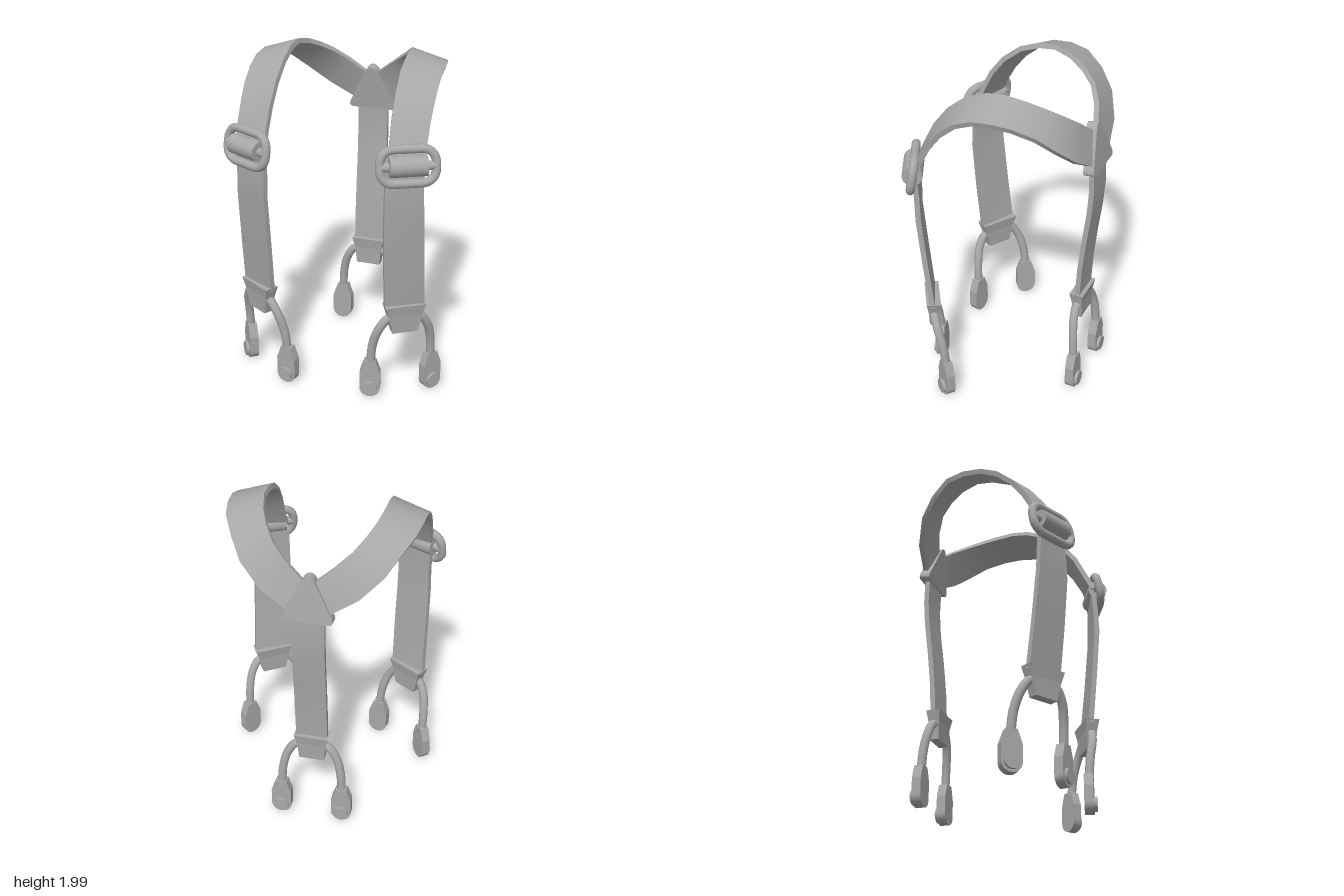
import * as THREE from 'three';

const gray = new THREE.MeshStandardMaterial({ color: 0xa8a8a8 });
gray.name = 'gray';
const V = (x, y, z) => new THREE.Vector3(x, y, z);

function add(parent, geometry, name) {
  const mesh = new THREE.Mesh(geometry, gray);
  mesh.name = name;
  parent.add(mesh);
  return mesh;
}

// Solid band between two edge lines; thick(i) gives the thickness of each row
function band(edgeA, edgeB, thick, flat = false) {
  const n = edgeA.length;
  const mid = edgeA.map((a, i) => a.clone().add(edgeB[i]).multiplyScalar(0.5));
  const rows = edgeA.map((a, i) => {
    const b = edgeB[i];
    const t = mid[Math.min(i + 1, n - 1)].clone().sub(mid[Math.max(i - 1, 0)]);
    const off = b.clone().sub(a).cross(t).setLength(thick(i) / 2);
    return [a.clone().add(off), b.clone().add(off), b.clone().sub(off), a.clone().sub(off)];
  });
  const pos = [], idx = [];
  for (let k = 0; k < 4; k++) {
    const base = pos.length / 3;
    rows.forEach((r, i) => {
      pos.push(...r[k].toArray(), ...r[(k + 1) % 4].toArray());
      if (i < n - 1) {
        const o = base + i * 2;
        idx.push(o, o + 1, o + 3, o, o + 3, o + 2);
      }
    });
  }
  // end faces
  [[rows[0], [0, 2, 1, 0, 3, 2]], [rows[n - 1], [0, 1, 2, 0, 2, 3]]].forEach(([r, order]) => {
    const base = pos.length / 3;
    r.forEach(p => pos.push(...p.toArray()));
    idx.push(...order.map(j => base + j));
  });
  let g = new THREE.BufferGeometry();
  g.setAttribute('position', new THREE.Float32BufferAttribute(pos, 3));
  g.setIndex(idx);
  if (flat) g = g.toNonIndexed();
  g.computeVertexNormals();
  return g;
}

// Strap from rows of [inner x,y,z, outer x,y,z], mirrored by s
function strap(rows, s) {
  const a = rows.map(r => V(s * r[0], r[1], r[2]));
  const b = rows.map(r => V(s * r[3], r[4], r[5]));
  return s > 0 ? band(a, b, () => 0.03) : band(b, a, () => 0.03);
}

const shoulderRows = [
  [0.345, 1.5, 0.45, 0.545, 1.5, 0.37],
  [0.35, 1.6, 0.4, 0.545, 1.59, 0.34],
  [0.345, 1.73, 0.335, 0.545, 1.7, 0.28],
  [0.34, 1.84, 0.25, 0.548, 1.79, 0.21],
  [0.335, 1.93, 0.14, 0.548, 1.865, 0.12],
  [0.335, 1.975, 0.02, 0.547, 1.905, 0.02],
  [0.333, 1.985, -0.08, 0.54, 1.915, -0.09],
  [0.31, 1.96, -0.19, 0.52, 1.9, -0.2],
  [0.27, 1.92, -0.28, 0.46, 1.84, -0.31],
  [0.215, 1.87, -0.36, 0.39, 1.75, -0.4],
  [0.13, 1.8, -0.42, 0.27, 1.64, -0.465],
  [0.02, 1.71, -0.46, 0.09, 1.53, -0.5],
];
const frontRows = [
  [0.34, 0.6, 0.41, 0.545, 0.6, 0.3],
  [0.34, 0.9, 0.44, 0.545, 0.9, 0.335],
  [0.345, 1.2, 0.465, 0.545, 1.2, 0.365],
  [0.345, 1.35, 0.46, 0.54, 1.35, 0.37],
  [0.345, 1.46, 0.45, 0.545, 1.46, 0.375],
];

// Rounded-rectangle ring with a strap roll around its middle bar
function buckle(s) {
  const g = new THREE.Group();
  g.name = 'buckle';
  const w = 0.155, h = 0.095, r = 0.075;
  const outline = new THREE.Shape();
  outline.absarc(w - r, h - r, r, 0, Math.PI / 2);
  outline.absarc(r - w, h - r, r, Math.PI / 2, Math.PI);
  outline.absarc(r - w, r - h, r, Math.PI, Math.PI * 1.5);
  outline.absarc(w - r, r - h, r, Math.PI * 1.5, Math.PI * 2);
  outline.closePath();
  const pts = outline.getSpacedPoints(32).slice(0, -1).map(p => V(p.x, p.y, 0));
  const path = new THREE.CatmullRomCurve3(pts, true);
  add(g, new THREE.TubeGeometry(path, 48, 0.025, 10, true), 'buckleRing');
  const roll = new THREE.CylinderGeometry(0.058, 0.058, 0.21, 20).rotateZ(Math.PI / 2);
  add(g, roll, 'strapRoll');
  const bar = new THREE.CylinderGeometry(0.026, 0.026, 0.31, 12).rotateZ(Math.PI / 2);
  add(g, bar, 'buckleBar');
  g.position.set(s * 0.465, 1.5, 0.425);
  g.rotation.set(-0.17, s * 0.45, 0, 'YXZ');
  return g;
}

// Strap end cap with two looped arms, each ending in a buttoned tab (faces local +z)
function clip(width, padZ, turn) {
  const g = new THREE.Group();
  g.name = 'endClip';
  const levels = [[0.45, 0.075, 0.055], [0.56, width * 0.42, 0.065], [0.625, width / 2, 0.085]];
  add(g, band(levels.map(l => V(-l[1], l[0], 0)), levels.map(l => V(l[1], l[0], 0)),
    i => levels[i][2], true), 'endCap');

  const tab = new THREE.Shape();
  tab.moveTo(-0.032, 0.25);
  tab.lineTo(-0.06, 0.17);
  tab.lineTo(-0.06, 0.07);
  tab.absarc(0, 0.07, 0.06, Math.PI, Math.PI * 2);
  tab.lineTo(0.06, 0.17);
  tab.lineTo(0.032, 0.25);
  tab.closePath();

  for (const s of [-1, 1]) {
    const path = new THREE.CatmullRomCurve3([
      V(s * 0.03, 0.52, 0), V(s * 0.09, 0.54, 0), V(s * 0.145, 0.47, padZ * 0.25),
      V(s * 0.175, 0.36, padZ * 0.7), V(s * 0.185, 0.21, padZ)]);
    add(g, new THREE.TubeGeometry(path, 20, 0.026, 10), 'clipArm');
    const end = new THREE.Group();
    end.name = 'buttonTab';
    end.position.set(s * 0.185, 0, padZ);
    end.rotation.y = s * turn;
    add(end, new THREE.ExtrudeGeometry(tab, { depth: 0.054, bevelEnabled: false, curveSegments: 12 })
      .translate(0, 0, -0.027), 'tab');
    add(end, new THREE.CylinderGeometry(0.045, 0.045, 0.02, 20)
      .rotateX(Math.PI / 2).translate(0, 0.07, 0.034), 'button');
    g.add(end);
  }
  return g;
}

export function createModel() {
  const model = new THREE.Group();
  model.name = 'suspenders';

  for (const s of [-1, 1]) {
    const side = s > 0 ? 'left' : 'right';
    add(model, strap(shoulderRows, s), side + 'ShoulderStrap');
    add(model, strap(frontRows, s), side + 'FrontStrap');
    model.add(buckle(s));
    const c = clip(0.24, -0.055, 0.35);
    c.position.set(s * 0.443, 0, 0.355);
    c.rotation.y = s * 0.56;
    model.add(c);
  }

  // back strap and its clip
  const line = [[0.6, -0.43], [0.8, -0.44], [1.0, -0.46], [1.2, -0.485], [1.35, -0.495], [1.52, -0.49]];
  add(model, band(line.map(p => V(-0.093, ...p)), line.map(p => V(0.093, ...p)), () => 0.03), 'backStrap');
  const backClip = clip(0.205, 0.028, 0);
  backClip.position.z = -0.427;
  backClip.rotation.y = Math.PI;
  model.add(backClip);

  // triangular joining plate where the straps meet
  const tri = new THREE.Shape();
  tri.moveTo(-0.125, 0);
  tri.lineTo(0.125, 0);
  tri.quadraticCurveTo(0.148, 0.005, 0.138, 0.035);
  tri.lineTo(0.032, 0.25);
  tri.quadraticCurveTo(0, 0.29, -0.032, 0.25);
  tri.lineTo(-0.138, 0.035);
  tri.quadraticCurveTo(-0.148, 0.005, -0.125, 0);
  const plate = add(model, new THREE.ExtrudeGeometry(tri, { depth: 0.064, bevelEnabled: false })
    .translate(0, 0, -0.032), 'backPlate');
  plate.position.set(0, 1.49, -0.495);
  plate.rotation.x = 0.15;

  return model;
}
